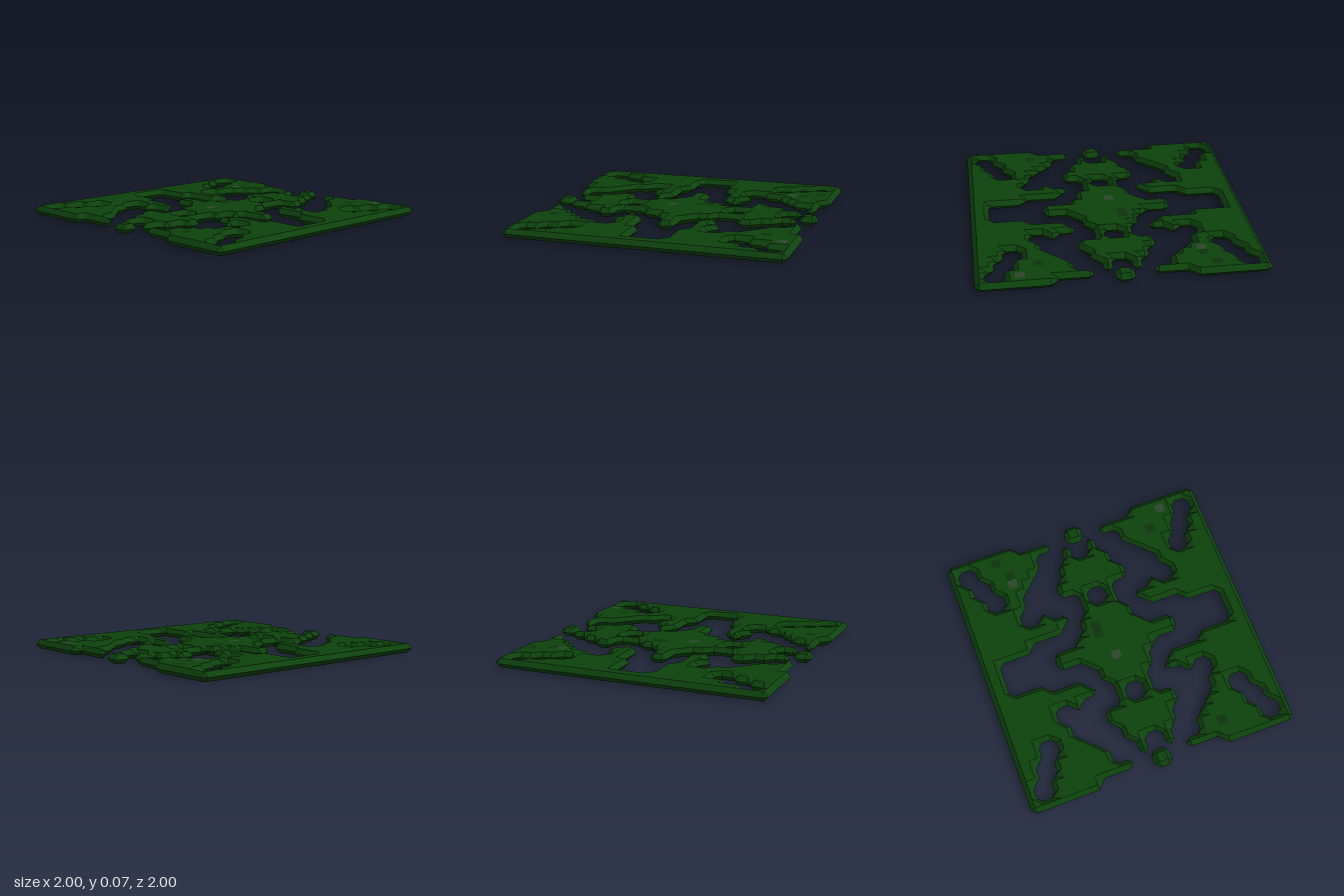
import * as THREE from 'three';

const N = 30, CELL = 2 / N, HALF = CELL / 2;

// One quarter of the fretwork pattern; mirrored in x and z.
const QUARTER = [
  '########......#',
  '#..#########..#',
  '#..#######...#.',
  '##..######...#.',
  '##..#####...###',
  '###..###....###',
  '###..##....####',
  '#######....####',
  '######.......#.',
  '######..#....#.',
  '###########..##',
  '##########..###',
  '######......###',
  '##.........####',
  '##......#######',
];
const fold = (i) => Math.min(i, N - 1 - i);
const inside = (c, r) => c >= 0 && r >= 0 && c < N && r < N;
const solid = (c, r) => inside(c, r) && QUARTER[fold(r)][fold(c)] === '#';
const pos = (i) => (i + 0.5) * CELL - 1;

// Label the separate pieces of the pattern by flood fill.
function findPieces() {
  const label = new Map(), key = (c, r) => r * N + c;
  let count = 0;
  for (let r = 0; r < N; r++) for (let c = 0; c < N; c++) {
    if (!solid(c, r) || label.has(key(c, r))) continue;
    const stack = [[c, r]];
    while (stack.length) {
      const [x, y] = stack.pop();
      if (!solid(x, y) || label.has(key(x, y))) continue;
      label.set(key(x, y), count);
      stack.push([x + 1, y], [x - 1, y], [x, y + 1], [x, y - 1]);
    }
    count++;
  }
  return { count, has: (c, r, n) => inside(c, r) && label.get(key(c, r)) === n };
}

// Flat faces over solid points, bevelled down to the middle height at every border.
function pieceGeometry(has) {
  const out = [];
  for (let r = -1; r < N; r++) for (let c = -1; c < N; c++) {
    const corners = [[c, r], [c, r + 1], [c + 1, r + 1], [c + 1, r]];
    const poly = [];
    corners.forEach(([x, z], k) => {
      const [nx, nz] = corners[(k + 1) % 4];
      const here = has(x, z);
      if (here) poly.push([pos(x), HALF, pos(z)]);
      if (here !== has(nx, nz)) poly.push([pos((x + nx) / 2), 0, pos((z + nz) / 2)]);
    });
    for (let k = 1; k + 1 < poly.length; k++) {
      const tri = [poly[0], poly[k], poly[k + 1]];
      for (const [x, y, z] of tri) out.push(x, HALF + y, z);
      for (const [x, y, z] of tri.reverse()) out.push(x, HALF - y, z);
    }
  }
  const geo = new THREE.BufferGeometry();
  geo.setAttribute('position', new THREE.Float32BufferAttribute(out, 3));
  geo.computeVertexNormals();
  return geo;
}

export function createModel() {
  const group = new THREE.Group();
  const green = new THREE.MeshStandardMaterial({ color: 0x0d420d, flatShading: true });

  // Side panels, centre piece and the two small end studs
  const names = ['rightPanel', 'backStud', 'leftPanel', 'centrePiece', 'frontStud'];
  const pieces = findPieces();
  for (let n = 0; n < pieces.count; n++) {
    const mesh = new THREE.Mesh(pieceGeometry((c, r) => pieces.has(c, r, n)), green);
    mesh.name = names[n] ?? 'piece' + n;
    group.add(mesh);
  }

  // Square flecks of paler and darker green on the upper face
  const flecks = [
    ['paleFleck', 0x2b462b, [[25, 1], [6, 4], [14, 16]]],
    ['darkFleck', 0x0c320c, [[5, 1], [6, 3], [23, 3], [13, 12], [13, 13], [22, 27]]],
  ];
  const square = new THREE.PlaneGeometry(CELL, CELL).rotateX(-Math.PI / 2);
  for (const [name, color, cells] of flecks) {
    const material = new THREE.MeshStandardMaterial({ color });
    for (const [c, r] of cells) {
      const fleck = new THREE.Mesh(square, material);
      fleck.name = name;
      fleck.position.set(pos(c), CELL + 0.0006, pos(r));
      group.add(fleck);
    }
  }
  return group;
}
